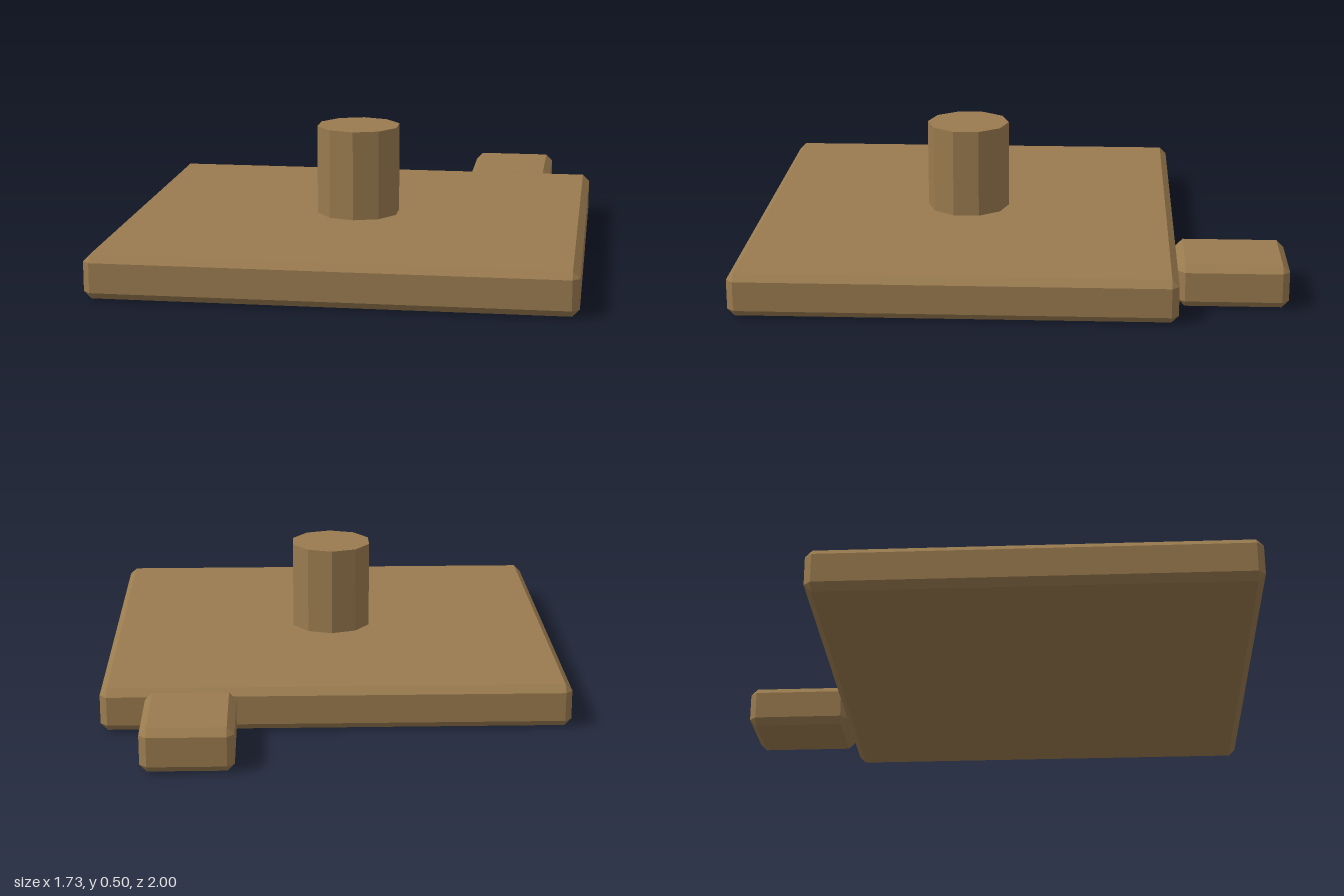
import * as THREE from 'three';
import { ConvexGeometry } from 'three/addons/geometries/ConvexGeometry.js';

// Box with flat bevels on every edge and small triangles at the corners
function bevelledBox(width, height, depth, bevel) {
  const half = [width / 2, height / 2, depth / 2];
  const points = [];
  for (const sx of [-1, 1]) for (const sy of [-1, 1]) for (const sz of [-1, 1]) {
    for (let axis = 0; axis < 3; axis++) {
      const [x, y, z] = half.map((h, i) => (i === axis ? h : h - bevel));
      points.push(new THREE.Vector3(sx * x, sy * y, sz * z));
    }
  }
  return new ConvexGeometry(points);
}

export function createModel() {
  const model = new THREE.Group();
  model.name = 'model';

  const wood = new THREE.MeshStandardMaterial({ color: 0x9a7b4f, flatShading: true });
  wood.name = 'woodBrown';

  const add = (name, geometry, x, y, z) => {
    const mesh = new THREE.Mesh(geometry, wood);
    mesh.name = name;
    mesh.position.set(x, y, z);
    model.add(mesh);
  };

  const thickness = 0.16, bevel = 0.026;

  // Wide slab and the small tab behind it
  add('basePlate', bevelledBox(1.726, thickness, 1.6, bevel), 0, thickness / 2, 0.2);
  add('rearTab', bevelledBox(0.33, thickness, 0.4, bevel), 0.53, thickness / 2, -0.8);

  // Ten-sided peg standing on the slab
  const pegHeight = 0.335;
  add('peg', new THREE.CylinderGeometry(0.158, 0.158, pegHeight, 10), 0, thickness + pegHeight / 2, 0.198);

  return model;
}
